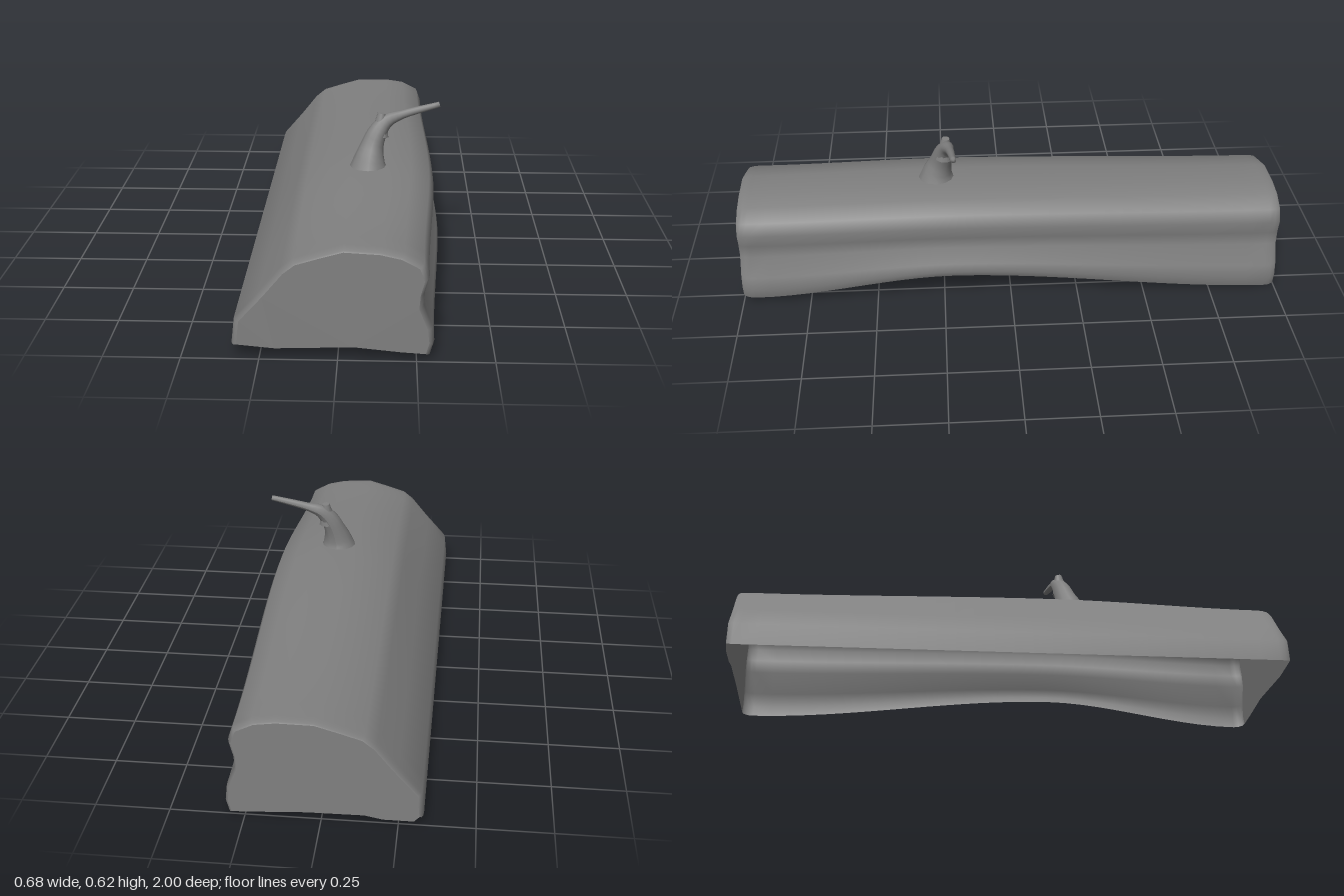
import * as THREE from 'three';

const { smoothstep, lerp } = THREE.MathUtils;
const material = new THREE.MeshStandardMaterial({ color: 0x808080, side: THREE.DoubleSide });

function add(group, name, geo) {
  const mesh = new THREE.Mesh(geo, material);
  mesh.name = name;
  group.add(mesh);
  return mesh;
}

// Skin a list of rings (each an array of Vector3 with equal length)
function loft(rings) {
  const n = rings[0].length, index = [];
  for (let i = 0; i < rings.length - 1; i++) {
    for (let j = 0; j < n - 1; j++) {
      const a = i * n + j, c = a + n;
      index.push(a, a + 1, c, a + 1, c + 1, c);
    }
  }
  const geo = new THREE.BufferGeometry().setFromPoints(rings.flat());
  geo.setIndex(index);
  geo.computeVertexNormals();
  return geo;
}

// Log outline from the low -x edge, over the top, down to the +x edge
const outline = [[-0.34, 0.045], [-0.33, 0.13], [-0.25, 0.22], [-0.18, 0.305], [-0.14, 0.337], [-0.06, 0.362], [0.02, 0.385],
  [0.14, 0.378], [0.21, 0.362], [0.27, 0.33], [0.287, 0.285], [0.274, 0.235], [0.27, 0.185], [0.3, 0.11], [0.306, 0.06], [0.295, 0.02]];

// Outline at z: the log swells near z = 0.2, its +x edge arches up there, and it sinks slightly to the back
function logRing(z) {
  const back = (0.96 - z) / 1.92;
  const swell = smoothstep(z > 0.2 ? (0.96 - z) / 0.76 : (z + 0.96) / 1.16, 0, 1);
  return outline.map(([x, y]) => {
    const right = smoothstep(x, 0, 0.28), high = smoothstep(y, 0.15, 0.38), low = 1 - y / 0.4;
    return new THREE.Vector3(
      x + right * (0.03 * swell + 0.012 * back) + (1 - right) * 0.01 * back * low,
      y + swell * (0.02 * high + right * (0.01 + 0.1 * low * low)) - 0.018 * back * (1 - right * (1 - low)),
      z);
  });
}

const inset = (ring, s, z) => ring.map(v => new THREE.Vector3(v.x * s, 0.2 + (v.y - 0.2) * s, z));

function buildLog(group) {
  const steps = 28, body = [];
  for (let i = 0; i <= steps; i++) body.push(logRing(lerp(0.96, -0.96, i / steps)));

  // Rounded rims at both ends
  const first = body[0], last = body[steps];
  const frontRim = inset(first, 0.945, 1), backRim = inset(last, 0.96, -1);
  add(group, 'hollowLogShell', loft([
    frontRim, inset(first, 0.97, 0.995), inset(first, 0.99, 0.98),
    ...body,
    inset(last, 0.995, -0.98), inset(last, 0.98, -0.995), backRim,
  ]));

  // Flat end faces with a slightly wavy lower edge
  const frontEdge = [[0.2, 0.035], [0.05, 0.05], [-0.2, 0.042]];
  const backEdge = [[0.18, 0.017], [0.05, 0.025], [-0.14, 0.027], [-0.2, 0.015], [-0.3, 0.015]];
  for (const [name, rim, edge] of [['frontEnd', frontRim, frontEdge], ['backEnd', backRim, backEdge]]) {
    const points = [...rim, ...edge.map(([x, y]) => new THREE.Vector3(x, y, 0))];
    const shape = new THREE.Shape(points.map(v => new THREE.Vector2(v.x, v.y)));
    add(group, name, new THREE.ShapeGeometry(shape)).position.z = rim[0].z;
  }
}

// Tapered limb through [x, y, z, radius] points, closed at its tip
function limb(points, steps, sides) {
  const curve = new THREE.CatmullRomCurve3(points.map(([x, y, z]) => new THREE.Vector3(x, y, z)));
  const frames = curve.computeFrenetFrames(steps);
  const ring = (i, scale) => {
    const u = i / steps, t = curve.getUtoTmapping(u) * (points.length - 1);
    const k = Math.min(Math.floor(t), points.length - 2);
    const r = scale * lerp(points[k][3], points[k + 1][3], t - k);
    const centre = curve.getPointAt(u);
    return Array.from({ length: sides + 1 }, (_, j) => {
      const a = (j % sides) / sides * Math.PI * 2;
      return centre.clone()
        .addScaledVector(frames.normals[i], Math.cos(a) * r)
        .addScaledVector(frames.binormals[i], Math.sin(a) * r);
    });
  };
  const rings = Array.from({ length: steps + 1 }, (_, i) => ring(i, 1));
  return loft([...rings, ring(steps, 0)]);
}

export function createModel() {
  const model = new THREE.Group();
  model.name = 'halfLog';
  buildLog(model);

  // Bent twig growing from the top, with a broken stub at its elbow
  const branch = new THREE.Group();
  branch.name = 'branch';
  add(branch, 'twig', limb([
    [0.082, 0.375, 0.268, 0.076], [0.085, 0.415, 0.265, 0.058], [0.095, 0.465, 0.252, 0.042], [0.115, 0.515, 0.24, 0.035],
    [0.145, 0.552, 0.228, 0.027], [0.2, 0.574, 0.218, 0.016], [0.338, 0.611, 0.206, 0.01],
  ], 20, 12));
  const stub = add(branch, 'stub', new THREE.CylinderGeometry(0.014, 0.034, 0.085, 10));
  stub.position.set(0.125, 0.541, 0.234);
  stub.rotation.set(-0.1, 0, -0.08);
  model.add(branch);
  return model;
}
